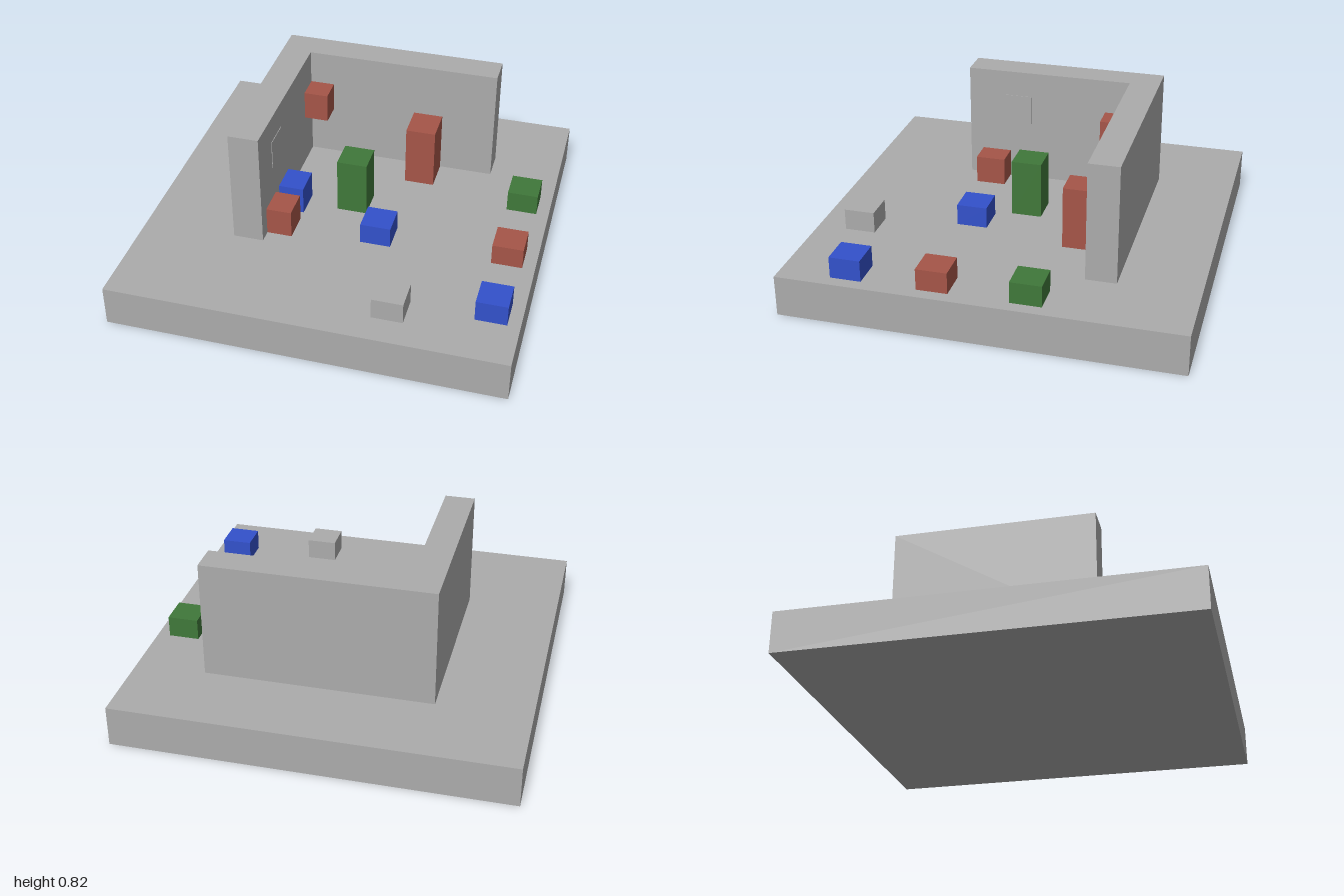
import * as THREE from 'three';

const material = (name, color) => {
  const m = new THREE.MeshStandardMaterial({ color });
  m.name = name;
  return m;
};

export function createModel() {
  const model = new THREE.Group();
  model.name = 'blockCourtyard';
  const grey = material('stoneGrey', 0xababab);
  const red = material('brickRed', 0xa55548);
  const blue = material('blue', 0x3351cb);
  const green = material('green', 0x40783a);

  // Box given by its lower and upper limits on each axis
  const box = (name, mat, [x0, x1], [y0, y1], [z0, z1]) => {
    const mesh = new THREE.Mesh(new THREE.BoxGeometry(x1 - x0, y1 - y0, z1 - z0), mat);
    mesh.position.set((x0 + x1) / 2, (y0 + y1) / 2, (z0 + z1) / 2);
    mesh.name = name;
    model.add(mesh);
  };

  const floor = 0.21, wallTop = 0.82, low = 0.32, mid = 0.357;
  const wallX = -0.37, wallZ = -0.44;

  // Floor slab
  box('floorSlab', grey, [-1, 1], [0, floor], [-1, 1]);

  // L-shaped wall, extruded from its plan
  const plan = new THREE.Shape([
    [-0.525, 0.595], [-0.525, -0.435], [wallX, -0.435],
    [wallX, -wallZ], [0.64, -wallZ], [0.64, 0.595],
  ].map(([x, y]) => new THREE.Vector2(x, y)));
  const wallGeometry = new THREE.ExtrudeGeometry(plan, { depth: wallTop - floor, bevelEnabled: false });
  wallGeometry.rotateX(-Math.PI / 2);
  const wall = new THREE.Mesh(wallGeometry, grey);
  wall.position.y = floor;
  wall.name = 'cornerWall';
  model.add(wall);

  // Blocks fixed against the walls
  box('wallPanel', grey, [wallX, wallX + 0.003], [0.53, 0.685], [0.09, 0.245]);
  box('raisedWallBlock', red, [wallX, -0.243], [0.485, 0.64], [wallZ, -0.313]);
  box('wallBlockRed', red, [wallX, -0.24], [floor, mid], [0.21, 0.365]);
  box('wallBlockBlue', blue, [wallX, -0.24], [floor, mid], [0, 0.157]);
  box('backWallPillar', red, [0.205, 0.36], [floor, 0.535], [wallZ, -0.26]);

  // Free-standing square blocks: name, material, centre x, centre z, top
  const side = 0.156;
  for (const [name, mat, x, z, top] of [
    ['centrePillar', green, 0, 0, 0.507],
    ['blockBlueInner', blue, 0.187, 0.238, low],
    ['blockGrey', grey, 0.383, 0.773, low],
    ['blockGreenSide', green, 0.858, -0.227, low],
    ['blockRedSide', red, 0.858, 0.228, low],
    ['blockBlueSide', blue, 0.858, 0.66, low],
  ]) {
    box(name, mat, [x - side / 2, x + side / 2], [floor, top], [z - side / 2, z + side / 2]);
  }
  return model;
}
